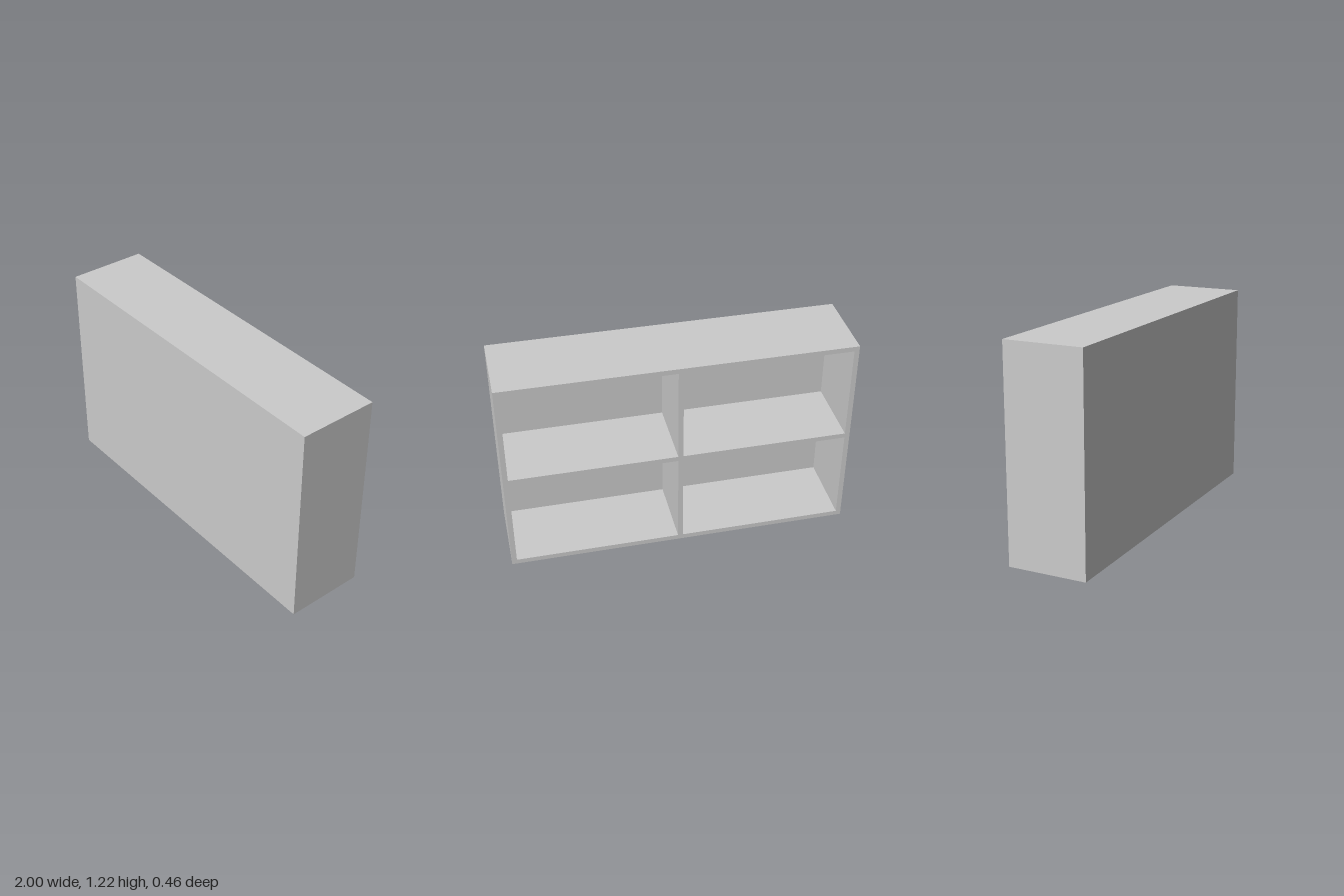
import * as THREE from 'three';

const W = 2, H = 1.215, D = 0.46, T = 0.029; // outer size and board thickness

// Rectangle path from its lower left corner
function rect(path, x, y, w, h) {
  path.moveTo(x, y);
  path.lineTo(x + w, y);
  path.lineTo(x + w, y + h);
  path.lineTo(x, y + h);
  path.closePath();
  return path;
}

export function createModel() {
  const group = new THREE.Group();
  group.name = 'shelfUnit';
  const material = new THREE.MeshStandardMaterial({ color: 0xcccccc, flatShading: true });

  // Frame with a centre divider and a middle shelf: four compartments open at the back
  const outline = rect(new THREE.Shape(), -W / 2, 0, W, H);
  const cellW = (W - 3 * T) / 2, cellH = (H - 3 * T) / 2;
  for (let col = 0; col < 2; col++) {
    for (let row = 0; row < 2; row++) {
      const x = -W / 2 + T + col * (cellW + T);
      const y = T + row * (cellH + T);
      outline.holes.push(rect(new THREE.Path(), x, y, cellW, cellH));
    }
  }
  const frame = new THREE.Mesh(
    new THREE.ExtrudeGeometry(outline, { depth: D - T, bevelEnabled: false }), material);
  frame.name = 'compartmentFrame';
  frame.position.z = -D / 2;
  group.add(frame);

  // Plain panel closing the front
  const panel = new THREE.Mesh(new THREE.BoxGeometry(W, H, T), material);
  panel.name = 'frontPanel';
  panel.position.set(0, H / 2, D / 2 - T / 2);
  group.add(panel);

  return group;
}
